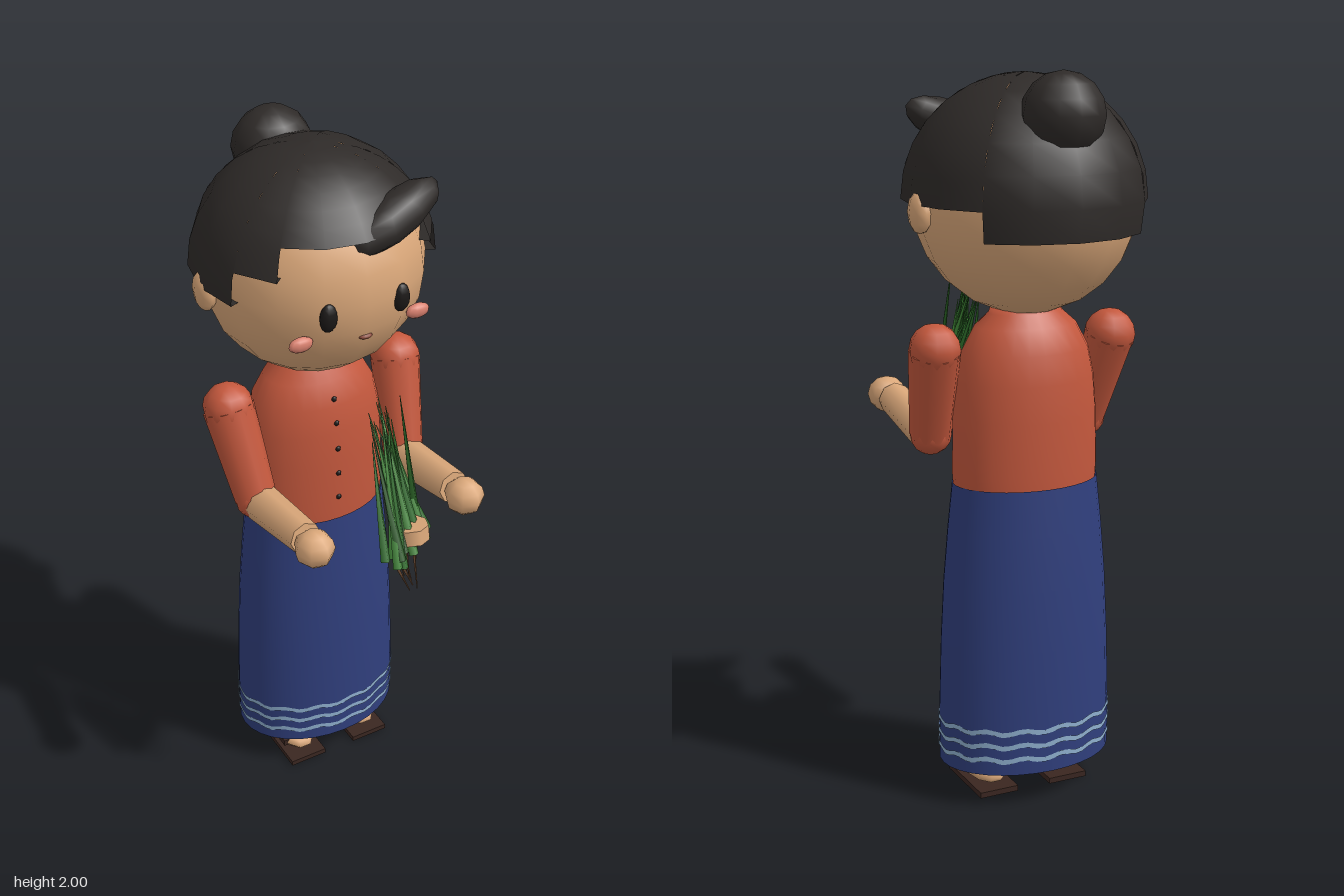
import * as THREE from 'three';

const paint = (color, side = THREE.FrontSide) => {
  const m = new THREE.MeshStandardMaterial({ side });
  m.color.set(color);
  return m;
};
const V = (x, y, z) => new THREE.Vector3(x, y, z);

export function createModel() {
  const model = new THREE.Group();
  model.name = 'figure';
  const D = THREE.DoubleSide;
  const skin = paint(0xdba87a), hair = paint(0x2e2a28, D), shirt = paint(0xc4583d), cloth = paint(0x303f7d, D);
  const wave = paint(0x8fb0cf, D), dark = paint(0x1b1817), sole = paint(0x3a2620), blush = paint(0xd9806e);
  const lips = paint(0x8a4a3a), greens = [0x2f6f2b, 0x3f8536, 0x24581f].map(c => paint(c, D));
  const root = paint(0x6b4a32), bodyZ = -0.135;

  const add = (name, geometry, material, x = 0, y = 0, z = 0) => {
    const mesh = new THREE.Mesh(geometry, material);
    mesh.name = name;
    mesh.position.set(x, y, z);
    model.add(mesh);
    return mesh;
  };
  const ball = (name, mat, p, s, w = 10, h = 8) => {
    const mesh = add(name, new THREE.SphereGeometry(1, w, h), mat, ...p);
    mesh.scale.set(...s);
    return mesh;
  };
  // tapered limb between two points
  const limb = (name, mat, a, b, ra, rb, sides = 10) => {
    const dir = b.clone().sub(a);
    const mesh = add(name, new THREE.CylinderGeometry(rb, ra, dir.length(), sides), mat);
    mesh.position.copy(a).add(b).multiplyScalar(0.5);
    mesh.quaternion.setFromUnitVectors(V(0, 1, 0), dir.normalize());
    return mesh;
  };
  const turned = (name, mat, pts, zScale, sides = 24) => {
    const mesh = add(name, new THREE.LatheGeometry(pts.map(p => new THREE.Vector2(...p)), sides), mat, 0, 0, bodyZ);
    mesh.scale.z = zScale;
    return mesh;
  };

  // Head and face
  ball('head', skin, [0, 1.66, -0.137], [0.303, 0.303, 0.303], 16, 12);
  ball('mouth', lips, [0, 1.565, 0.145], [0.02, 0.008, 0.012]);
  for (const s of [-1, 1]) {
    ball('ear', skin, [s * 0.307, 1.64, -0.145], [0.03, 0.056, 0.046], 8, 6);
    ball('eye', dark, [s * 0.106, 1.645, 0.142], [0.025, 0.04, 0.018]);
    ball('cheek', blush, [s * 0.172, 1.575, 0.118], [0.035, 0.021, 0.016]);
  }

  // Hair cap: sectors of one dome, each cut off at its own height
  const R = 0.327, hairY = 1.66, step = Math.PI / 8;
  const hairSector = (name, start, count, bottom) => {
    const low = Math.asin((bottom - hairY) / R), rim = [R * Math.cos(low), R * Math.sin(low)];
    const pts = [[0.27, rim[1]], rim];
    for (let i = 0; i <= 7; i++) {
      const a = low + (Math.PI / 2 - low) * i / 7;
      pts.push([Math.max(R * Math.cos(a), 0), R * Math.sin(a)]);
    }
    const geo = new THREE.LatheGeometry(pts.map(p => new THREE.Vector2(...p)), count, start * step, count * step);
    add(name, geo, hair, 0, hairY, -0.13);
  };
  hairSector('hairFront', -2, 4, 1.83);
  hairSector('hairTempleLeft', 2, 1, 1.75);
  hairSector('hairTempleRight', -3, 1, 1.75);
  hairSector('hairSideLeft', 3, 3, 1.66);
  hairSector('hairSideRight', -6, 3, 1.66);
  hairSector('hairBack', 6, 4, 1.58);
  ball('hairBun', hair, [0, 1.89, -0.345], [0.112, 0.11, 0.1], 12, 8);
  const quiff = ball('hairQuiff', hair, [0.115, 1.845, 0.085], [0.155, 0.058, 0.062], 10, 8);
  quiff.rotation.set(0, 0.2, 0.33);

  // Blouse with buttons
  turned('blouse', shirt, [[0.203, 0.86], [0.208, 0.93], [0.205, 1.08], [0.197, 1.18], [0.18, 1.26],
    [0.145, 1.325], [0.105, 1.36], [0.095, 1.385], [0, 1.39]], 0.7);
  [[0.97, 0.207], [1.05, 0.206], [1.13, 0.201], [1.21, 0.19], [1.28, 0.17]].forEach(([y, r]) =>
    ball('button', dark, [0, y, bodyZ + r * 0.7], [0.008, 0.008, 0.006], 8, 6));

  // Long skirt, open at the hem, with three wavy stripes
  turned('skirt', cloth, [[0.25, 0.1], [0.25, 0.25], [0.244, 0.45], [0.235, 0.62], [0.222, 0.77], [0.208, 0.9]], 0.72, 32);
  for (const y of [0.145, 0.185, 0.225]) {
    const geo = new THREE.CylinderGeometry(0.253, 0.253, 0.014, 64, 1, true);
    const p = geo.attributes.position;
    for (let i = 0; i < p.count; i++) {
      p.setY(i, p.getY(i) + 0.005 * Math.sin(14 * Math.atan2(p.getX(i), p.getZ(i))));
    }
    add('skirtStripe', geo, wave, 0, y, bodyZ).scale.z = 0.723;
  }

  for (const s of [-1, 1]) {
    // Legs, feet and sandals
    const x = s * 0.108;
    limb('leg', skin, V(x, 0.085, -0.13), V(x, 0.5, -0.13), 0.058, 0.065);
    ball('foot', skin, [x, 0.042, -0.095], [0.054, 0.027, 0.096], 10, 6);
    add('sandalSole', new THREE.BoxGeometry(0.116, 0.016, 0.215), sole, x, 0.008, -0.093);
    add('sandalStrap', new THREE.BoxGeometry(0.108, 0.02, 0.035), sole, x, 0.044, -0.06);

    // Arms bent forward at the elbow
    const shoulder = V(s * 0.262, 1.275, -0.13), elbow = V(s * 0.236, 1.025, -0.035);
    const wrist = V(s * 0.23, 1.064, 0.24);
    ball('shoulder', shirt, shoulder.toArray(), [0.071, 0.071, 0.071], 10, 8);
    limb('sleeve', shirt, elbow, shoulder, 0.058, 0.071);
    ball('elbow', shirt, elbow.toArray(), [0.059, 0.059, 0.059], 10, 8);
    limb('forearm', skin, V(s * 0.23, 1.018, -0.02), wrist, 0.055, 0.046, 8);
    ball('hand', skin, [s * 0.232, 1.066, 0.287], [0.055, 0.052, 0.058], 7, 6);
  }

  // Bundle of seedlings: blades, hanging roots and a tie
  let seed = 7;
  const rnd = () => (seed = (seed * 16807) % 2147483647) / 2147483647 * 2 - 1;
  for (let i = 0; i < 20; i++) {
    const t = i / 9.5 - 1, j = rnd() * 0.02;
    const base = V(t * 0.072 + j, 1.035 + 0.02 * rnd(), 0.375 - t * 0.058 + j);
    const tip = V(t * 0.035 + rnd() * 0.035 - 0.005, 1.37 + 0.06 * rnd(), 0.23 - t * 0.03 + rnd() * 0.035);
    limb('blade', greens[i % 3], base, tip, 0.014, 0.001, 4);
    if (i % 2) {
      limb('root', root, V(base.x * 0.6, 0.95 + 0.03 * rnd(), base.z + 0.02), base, 0.0015, 0.004, 4);
    }
  }
  const tie = add('tie', new THREE.CylinderGeometry(0.056, 0.056, 0.042, 8), skin, 0.014, 1.078, 0.36);
  tie.rotation.x = -0.2;
  tie.scale.x = 0.88;

  return model;
}
